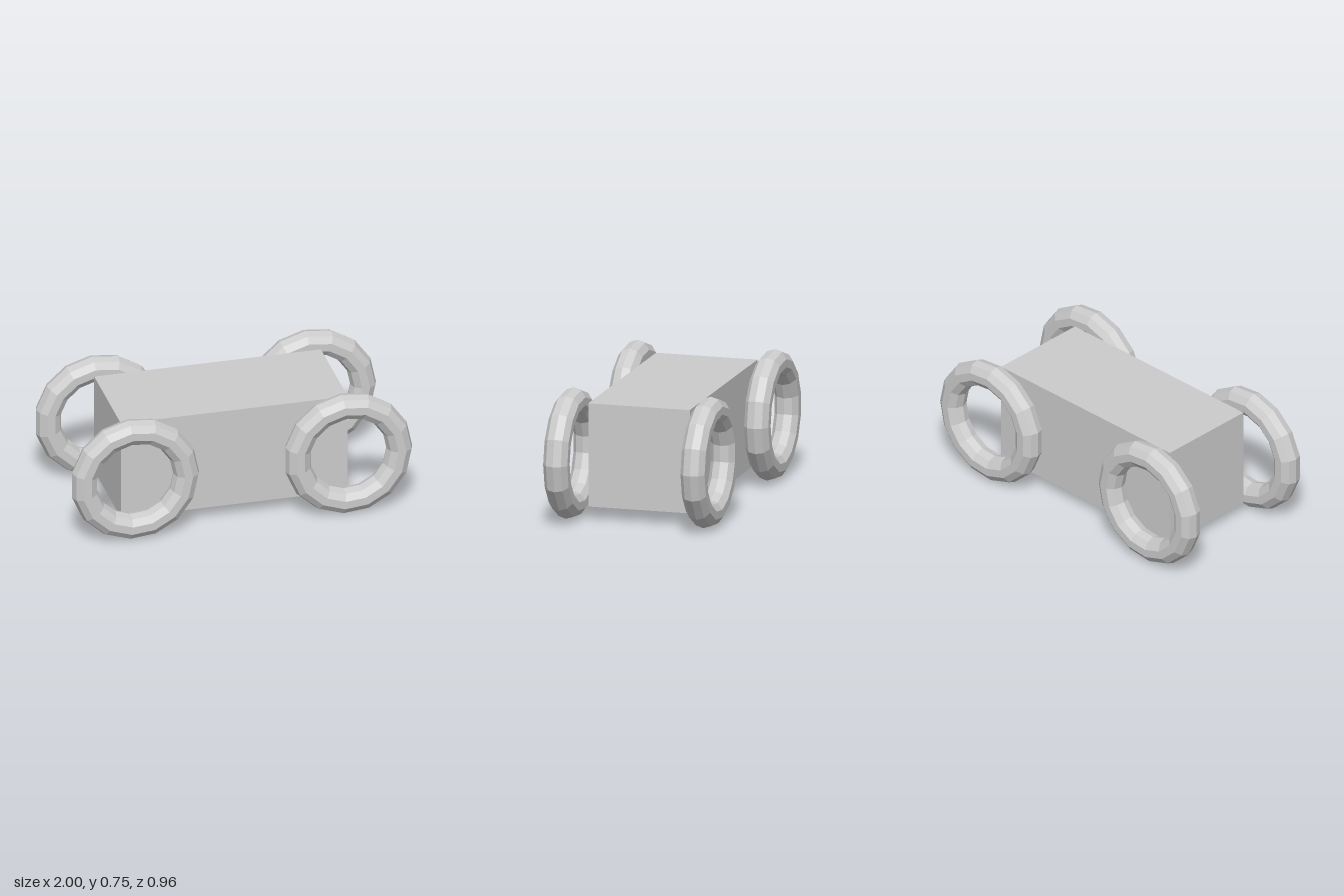
import * as THREE from 'three';

export function createModel() {
  const model = new THREE.Group();
  const material = new THREE.MeshStandardMaterial({ color: 0xcccccc, flatShading: true });

  // Plain block body
  const body = new THREE.Mesh(new THREE.BoxGeometry(1.333, 0.603, 0.603), material);
  body.name = 'body';
  body.position.set(-0.018, 0.377, 0);
  model.add(body);

  // Four open ring wheels, standing clear of the body
  const ring = new THREE.TorusGeometry(0.3015, 0.0755, 10, 15);
  for (const [side, x] of [['Right', -0.631], ['Left', 0.623]]) {
    for (const [end, z] of [['front', 0.408], ['back', -0.408]]) {
      const wheel = new THREE.Mesh(ring, material);
      wheel.name = `${end}${side}Wheel`;
      wheel.position.set(x, 0.375, z);
      model.add(wheel);
    }
  }
  return model;
}
